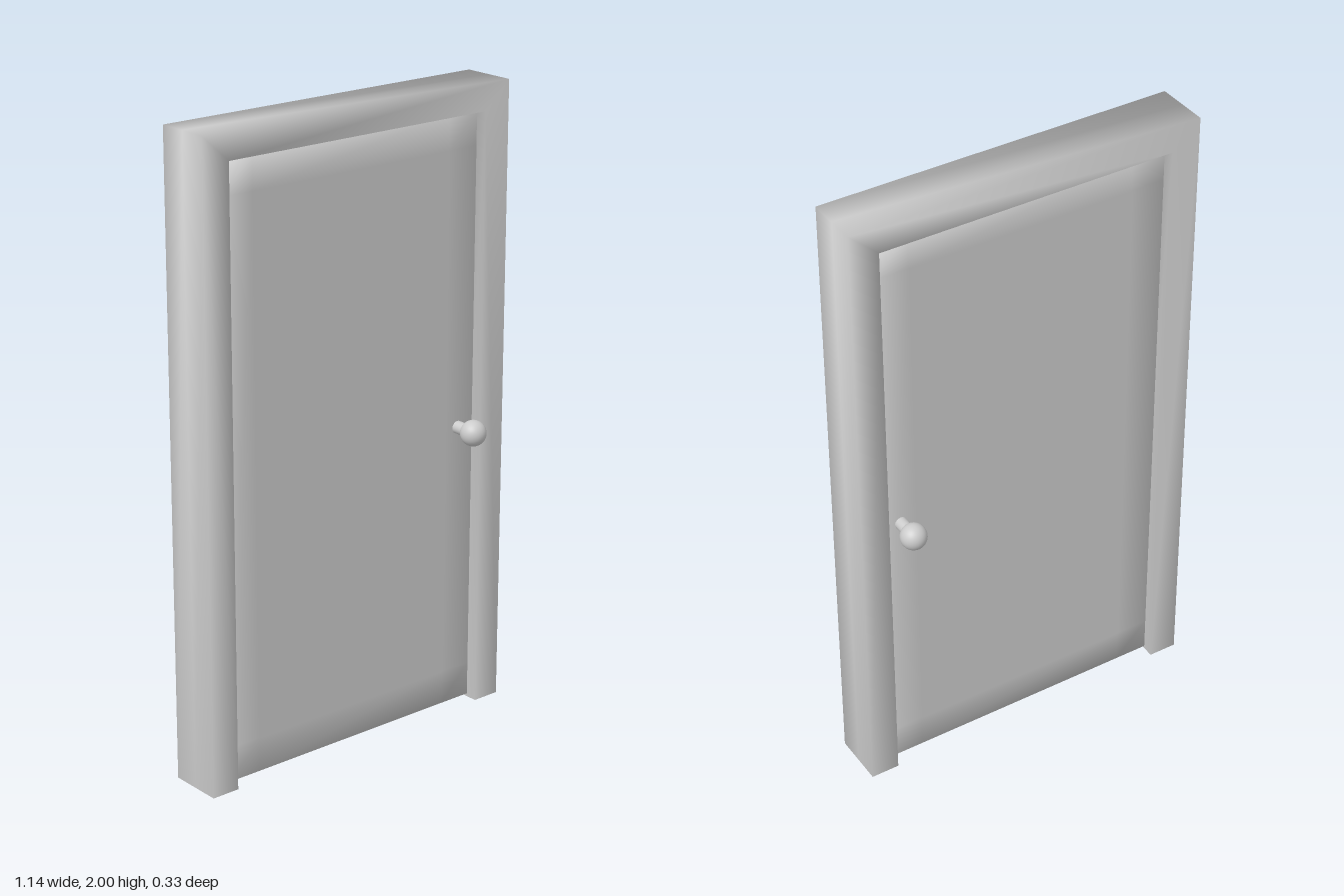
import * as THREE from 'three';
import { mergeVertices } from 'three/addons/utils/BufferGeometryUtils.js';

const material = new THREE.MeshStandardMaterial({ color: 0xcccccc });

const W = 0.57, H = 2, D = 0.088;             // frame half width, height, half depth
const INNER = 0.478, INNER_TOP = 1.916;       // door opening
const PANEL_Z = 0.05, PANEL_BOTTOM = 0.01;    // leaf half thickness, floor gap

// Weld shared corners so shading rolls softly over every edge
function soften(geometry) {
  geometry.deleteAttribute('normal');
  geometry.deleteAttribute('uv');
  const welded = mergeVertices(geometry, 1e-4);
  welded.computeVertexNormals();
  return welded;
}

function addMesh(parent, name, geometry) {
  const mesh = new THREE.Mesh(geometry, material);
  mesh.name = name;
  parent.add(mesh);
  return mesh;
}

export function createModel() {
  const model = new THREE.Group();
  model.name = 'door';

  // Frame: two jambs and a lintel, open at the floor
  const outline = new THREE.Shape([
    [-W, 0], [-INNER, 0], [-INNER, INNER_TOP], [INNER, INNER_TOP],
    [INNER, 0], [W, 0], [W, H], [-W, H],
  ].map(([x, y]) => new THREE.Vector2(x, y)));
  const frame = new THREE.ExtrudeGeometry(outline, { depth: 2 * D, steps: 2, bevelEnabled: false });
  frame.translate(0, 0, -D);
  addMesh(model, 'frame', soften(frame));

  // Door leaf: recessed slab with a soft border around its flat middle
  const leafHeight = INNER_TOP - PANEL_BOTTOM;
  const leaf = new THREE.BoxGeometry(2 * INNER, leafHeight, 2 * PANEL_Z, 3, 3, 1);
  const pos = leaf.attributes.position;
  const border = 0.11;
  const inset = (v, half) => (Math.abs(v) < half * 0.9 ? Math.sign(v) * (half - border) : v);
  for (let i = 0; i < pos.count; i++) {
    pos.setX(i, inset(pos.getX(i), INNER));
    pos.setY(i, inset(pos.getY(i), leafHeight / 2));
  }
  leaf.translate(0, PANEL_BOTTOM + leafHeight / 2, 0);
  addMesh(model, 'doorLeaf', soften(leaf));

  // Round knob on a short stem, on both faces
  for (const side of [1, -1]) {
    const knob = new THREE.Group();
    knob.name = side > 0 ? 'frontKnob' : 'backKnob';
    knob.position.set(0.418, 0.93, 0);
    addMesh(knob, 'ball', new THREE.SphereGeometry(0.041, 32, 20)).position.z = side * 0.123;
    const stem = addMesh(knob, 'stem', new THREE.CylinderGeometry(0.02, 0.02, 0.075, 24));
    stem.rotation.x = Math.PI / 2;
    stem.position.z = side * 0.0825;
    model.add(knob);
  }

  return model;
}
